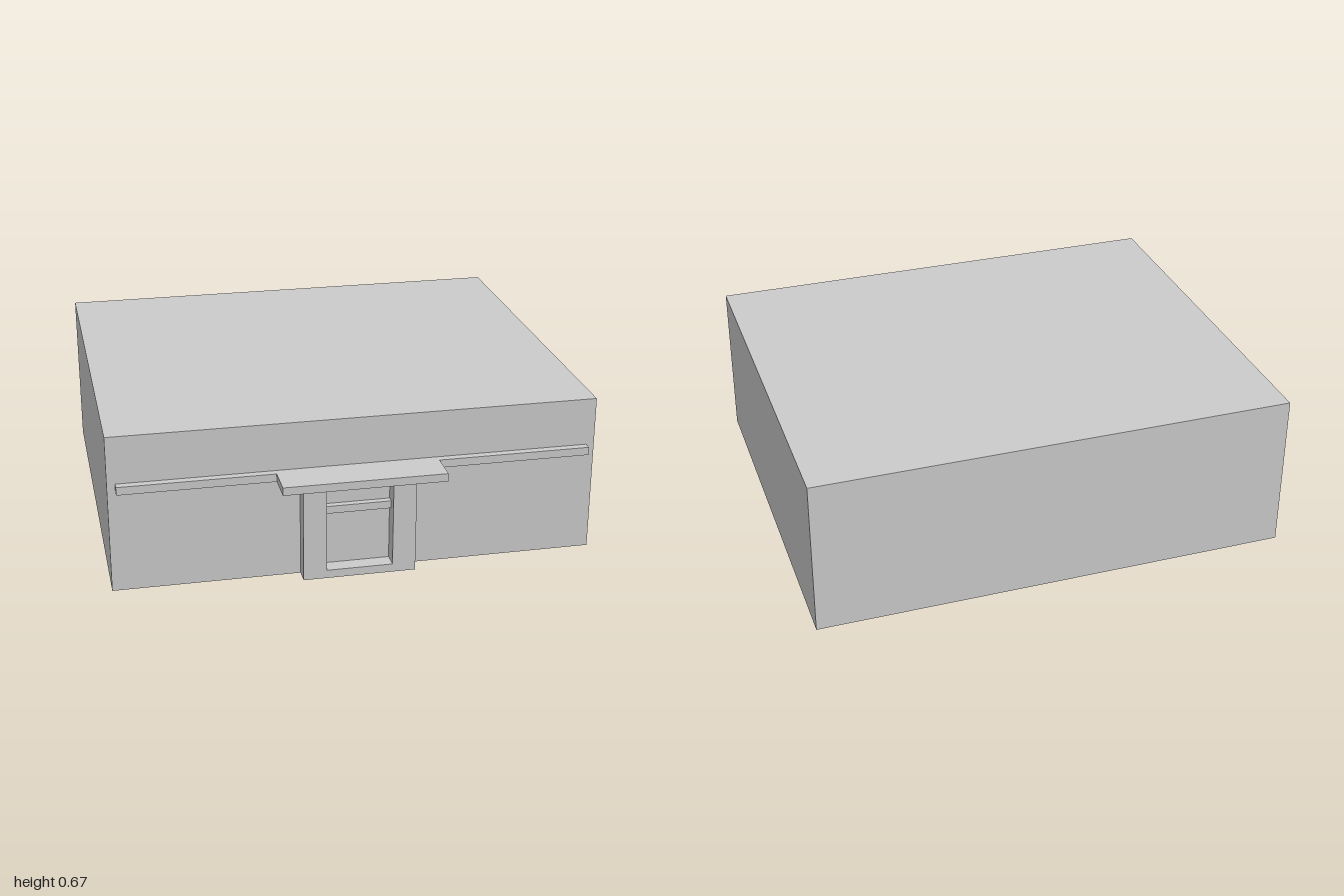
import * as THREE from 'three';

export function createModel() {
  const group = new THREE.Group();
  const material = new THREE.MeshStandardMaterial({ color: 0xcccccc, flatShading: true });

  // Box given by its lower and upper corners
  const block = (name, [x0, y0, z0], [x1, y1, z1]) => {
    const mesh = new THREE.Mesh(new THREE.BoxGeometry(x1 - x0, y1 - y0, z1 - z0), material);
    mesh.position.set((x0 + x1) / 2, (y0 + y1) / 2, (z0 + z1) / 2);
    mesh.name = name;
    group.add(mesh);
  };

  const wall = 0.75; // front wall plane

  // Main building volume
  block('body', [-1, 0, -0.917], [1, 0.667, wall]);

  // Thin ledge across the facade, on both sides of the canopy
  block('ledgeRight', [-0.967, 0.433, wall], [-0.333, 0.467, 0.783]);
  block('ledgeLeft', [0.333, 0.433, wall], [0.967, 0.467, 0.783]);

  // Canopy over the entrance
  block('canopy', [-0.333, 0.433, wall], [0.333, 0.467, 0.917]);

  // Entrance surround with a rectangular opening
  const frame = new THREE.Shape([
    new THREE.Vector2(-0.233, 0), new THREE.Vector2(0.233, 0),
    new THREE.Vector2(0.233, 0.433), new THREE.Vector2(-0.233, 0.433),
  ]);
  frame.holes.push(new THREE.Path([
    new THREE.Vector2(-0.137, 0.035), new THREE.Vector2(-0.137, 0.403),
    new THREE.Vector2(0.137, 0.403), new THREE.Vector2(0.137, 0.035),
  ]));
  const surround = new THREE.Mesh(
    new THREE.ExtrudeGeometry(frame, { depth: 0.067, bevelEnabled: false }), material);
  surround.position.z = wall;
  surround.name = 'entranceSurround';
  group.add(surround);

  // Transom bar across the opening
  block('transom', [-0.137, 0.27, wall], [0.137, 0.302, 0.778]);

  return group;
}
